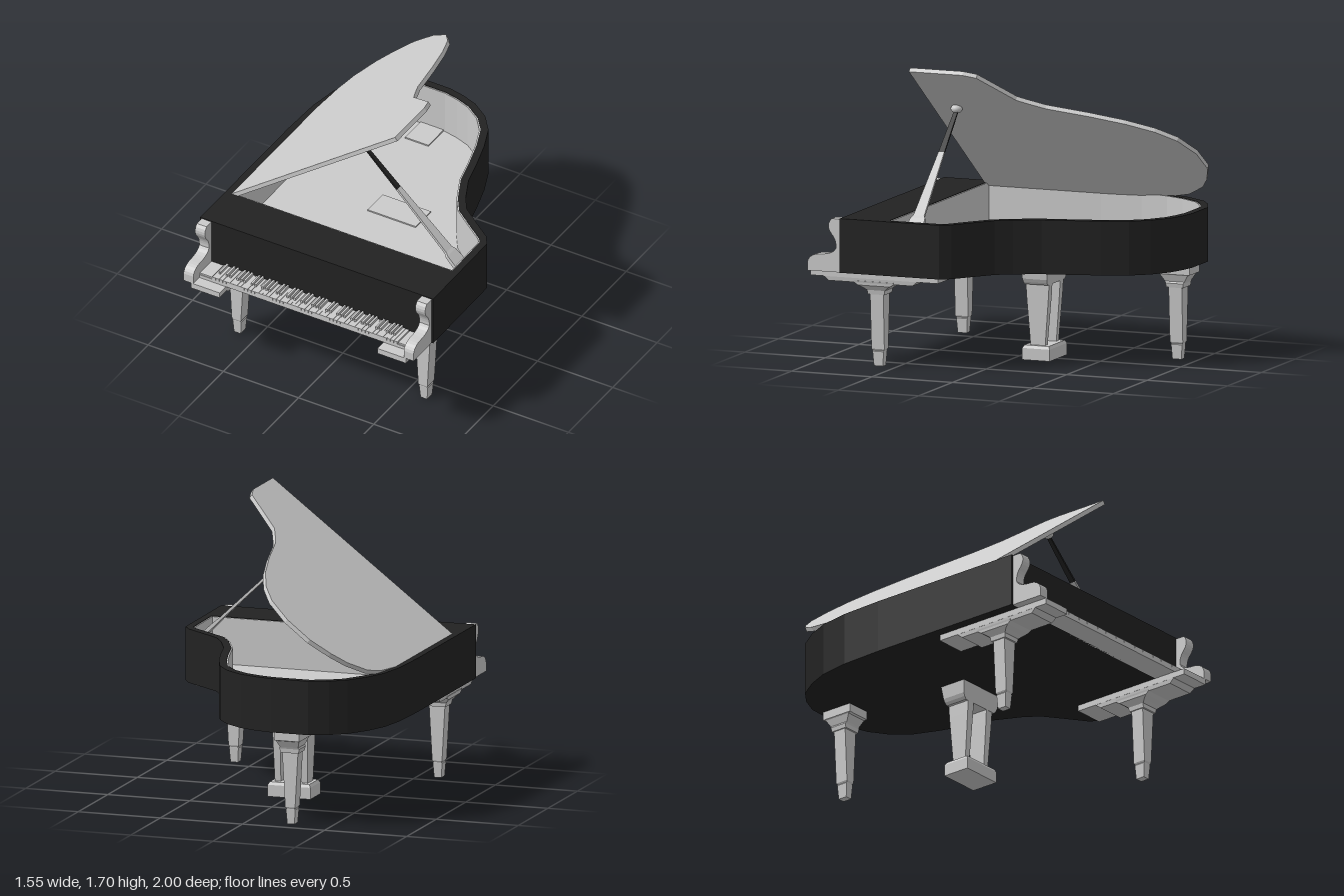
import * as THREE from 'three';

const grey = new THREE.MeshStandardMaterial({ color: 0xcccccc, flatShading: true });
const smoothGrey = new THREE.MeshStandardMaterial({ color: 0xcccccc });
const black = new THREE.MeshStandardMaterial({ color: 0x222222, flatShading: true });

// Case outline in plan (x, z), from front right round the tail to front left
const OUTLINE = [
  [0.775, 0.795], [0.77, 0.18], [0.73, 0.12], [0.62, 0.04], [0.5, -0.05], [0.44, -0.14], [0.37, -0.29],
  [0.33, -0.45], [0.28, -0.62], [0.22, -0.77], [0.14, -0.87], [0.03, -0.945], [-0.07, -0.98], [-0.17, -1],
  [-0.4, -1], [-0.51, -0.955], [-0.6, -0.89], [-0.68, -0.77], [-0.735, -0.64], [-0.765, -0.46],
  [-0.775, -0.2], [-0.775, 0.795],
];
// Lid outline: x as seen in plan when raised, and z
const LID = [
  [-0.735, 0.51], [0.365, 0.53], [0.365, 0.2], [0.345, 0.12], [0.15, -0.045], [0.125, -0.1], [0.085, -0.2],
  [0.035, -0.45], [-0.015, -0.65], [-0.075, -0.81], [-0.15, -0.92], [-0.27, -0.99], [-0.41, -1],
  [-0.52, -0.95], [-0.6, -0.89], [-0.68, -0.775], [-0.715, -0.65], [-0.735, -0.45],
];

function add(parent, name, geometry, material = grey, x = 0, y = 0, z = 0) {
  const mesh = new THREE.Mesh(geometry, material);
  mesh.name = name;
  mesh.position.set(x, y, z);
  parent.add(mesh);
  return mesh;
}

// Box between two corners
function box(parent, name, [x0, x1], [y0, y1], [z0, z1], material = grey) {
  const g = new THREE.BoxGeometry(x1 - x0, y1 - y0, z1 - z0);
  return add(parent, name, g, material, (x0 + x1) / 2, (y0 + y1) / 2, (z0 + z1) / 2);
}

const toVectors = (points) => points.map(([x, z]) => new THREE.Vector2(x, -z));

// Vertical extrusion of a plan outline between two heights
function slab(points, y0, y1, hole) {
  const shape = new THREE.Shape(toVectors(points));
  if (hole) shape.holes.push(new THREE.Path(toVectors(hole)));
  const g = new THREE.ExtrudeGeometry(shape, { depth: y1 - y0, bevelEnabled: false });
  return g.rotateX(-Math.PI / 2).translate(0, y0, 0);
}

// Inward offset of the case outline, closed at the front by a straight edge
function inset(d, front) {
  const last = OUTLINE.length - 1;
  return OUTLINE.map(([x, z], i) => {
    const a = OUTLINE[Math.max(i - 1, 0)], b = OUTLINE[Math.min(i + 1, last)];
    const dx = b[0] - a[0], dz = b[1] - a[1], len = Math.hypot(dx, dz);
    return [x + (dz / len) * d, i === 0 || i === last ? front : z - (dx / len) * d];
  });
}

// Rectangular cross-sections [y, half width, half depth] stacked bottom to top
function loft(sections) {
  const pos = [], index = [];
  for (const [y, w, d] of sections) pos.push(-w, y, d, w, y, d, w, y, -d, -w, y, -d);
  const n = sections.length;
  for (let s = 0; s < n - 1; s++) {
    for (let i = 0; i < 4; i++) {
      const a = s * 4 + i, b = s * 4 + (i + 1) % 4;
      index.push(a, b, b + 4, a, b + 4, a + 4);
    }
  }
  const t = (n - 1) * 4;
  index.push(0, 2, 1, 0, 3, 2, t, t + 1, t + 2, t, t + 2, t + 3);
  const g = new THREE.BufferGeometry();
  g.setAttribute('position', new THREE.Float32BufferAttribute(pos, 3));
  g.setIndex(index);
  const flat = g.toNonIndexed();
  flat.computeVertexNormals();
  return flat;
}

function addCase(group) {
  const inner = inset(0.045, 0.505);
  add(group, 'caseRim', slab(OUTLINE, 0.55, 0.865, inner), black);
  add(group, 'caseBottom', slab(inner, 0.55, 0.575), black);
  add(group, 'soundboard', slab(inner, 0.575, 0.59));
  add(group, 'innerLining', slab(inner, 0.585, 0.862, inset(0.053, 0.497)));
}

function addKeyboard(group) {
  box(group, 'keyBed', [-0.7, 0.7], [0.55, 0.57], [0.785, 0.93]);
  for (const s of [-1, 1]) box(group, 'keyBlock', [s * 0.66 - 0.04, s * 0.66 + 0.04], [0.57, 0.58], [0.785, 0.925]);
  const keys = new THREE.Group();
  keys.name = 'keys';
  group.add(keys);
  const pitch = 1.232 / 52;
  for (let i = 0; i < 52; i++) {
    const x = -0.616 + i * pitch;
    box(keys, 'naturalKey', [x + 0.0008, x + pitch - 0.0008], [0.568, 0.586], [0.785, 0.93]);
    // Sharps sit in groups of two and three
    if (i < 51 && ![1, 4].includes(i % 7)) {
      box(keys, 'sharpKey', [x + pitch - 0.006, x + pitch + 0.006], [0.58, 0.602], [0.785, 0.885]);
    }
  }
}

// Scrolled arms at the ends of the keyboard, with the slabs under them
function addArm(group, side) {
  const s = new THREE.Shape();
  s.moveTo(0.78, 0.55);
  s.lineTo(1, 0.55);
  s.lineTo(1, 0.6);
  s.quadraticCurveTo(0.99, 0.645, 0.93, 0.65);
  s.quadraticCurveTo(0.84, 0.65, 0.822, 0.69);
  s.quadraticCurveTo(0.82, 0.74, 0.85, 0.77);
  s.quadraticCurveTo(0.89, 0.82, 0.85, 0.86);
  s.lineTo(0.78, 0.86);
  const g = new THREE.ExtrudeGeometry(s, { depth: 0.065, bevelEnabled: false, curveSegments: 5 });
  g.rotateY(-Math.PI / 2);
  add(group, 'arm', g, grey, side > 0 ? 0.765 : -0.7, 0, 0);
  const c = side * 0.62;
  box(group, 'armSlab', [c - 0.095, c + 0.095], [0.515, 0.55], [0.21, 1]);
  add(group, 'armSlabTaper', loft([[0.49, 0.09, 0.26], [0.515, 0.094, 0.29]]), grey, c, 0, 0.63);
}

function addLegs(group) {
  const shaft = [[0, 0.022, 0.028], [0.085, 0.028, 0.034], [0.09, 0.024, 0.034], [0.1, 0.03, 0.04],
    [0.42, 0.048, 0.041], [0.42, 0.055, 0.052], [0.445, 0.06, 0.055]];
  const front = [...shaft, [0.46, 0.075, 0.075], [0.475, 0.09, 0.1], [0.49, 0.092, 0.122], [0.5, 0.095, 0.122]];
  const rear = [...shaft, [0.455, 0.055, 0.06], [0.495, 0.07, 0.085], [0.5, 0.077, 0.1], [0.598, 0.077, 0.1]];
  for (const side of [-1, 1]) add(group, 'frontLeg', loft(front), grey, side * 0.62, 0, 0.61);
  add(group, 'rearLeg', loft(rear), grey, -0.26, 0, -0.875);
}

function addPedalLyre(group) {
  const lyre = new THREE.Group();
  lyre.name = 'pedalLyre';
  lyre.position.set(-0.008, 0, -0.15);
  group.add(lyre);
  add(lyre, 'lyreHead', loft([[0.44, 0.125, 0.072], [0.455, 0.14, 0.074], [0.475, 0.15, 0.076],
    [0.55, 0.16, 0.085], [0.598, 0.16, 0.085]]));
  for (const side of [-1, 1]) {
    add(lyre, 'lyreColumn', loft([[0.08, 0.018, 0.045], [0.37, 0.024, 0.068], [0.445, 0.025, 0.072]]), grey, side * 0.082);
  }
  add(lyre, 'lyreBase', loft([[0, 0.13, 0.085], [0.068, 0.13, 0.085], [0.085, 0.12, 0.075]]));
}

function addLid(group) {
  const slope = Math.atan2(0.83, 1.1);
  const flat = LID.map(([x, z]) => [(x + 0.735) / Math.cos(slope), z]);
  const lid = add(group, 'lid', slab(flat, -0.026, 0), grey, -0.735, 0.865, 0);
  lid.rotation.z = slope;
}

function addProp(group) {
  const prop = new THREE.Group();
  prop.name = 'lidProp';
  prop.position.set(0.71, 0.8, 0.365);
  prop.rotation.z = Math.atan2(0.65, 0.62);
  group.add(prop);
  add(prop, 'propFoot', loft([[0, 0.012, 0.052], [0.1, 0.01, 0.045], [0.12, 0.008, 0.034]]));
  add(prop, 'propLower', loft([[0.1, 0.008, 0.034], [0.58, 0.007, 0.018]]));
  add(prop, 'propUpper', loft([[0.58, 0.006, 0.018], [0.885, 0.005, 0.012]]), black);
  const knob = add(group, 'propKnob', new THREE.SphereGeometry(0.034, 16, 12), smoothGrey, 0.062, 1.42, 0.368);
  knob.scale.y = 0.76;
}

export function createModel() {
  const group = new THREE.Group();
  group.name = 'grandPiano';
  addCase(group);
  addKeyboard(group);
  for (const side of [-1, 1]) addArm(group, side);
  addLegs(group);
  addPedalLyre(group);
  addLid(group);
  addProp(group);
  return group;
}
